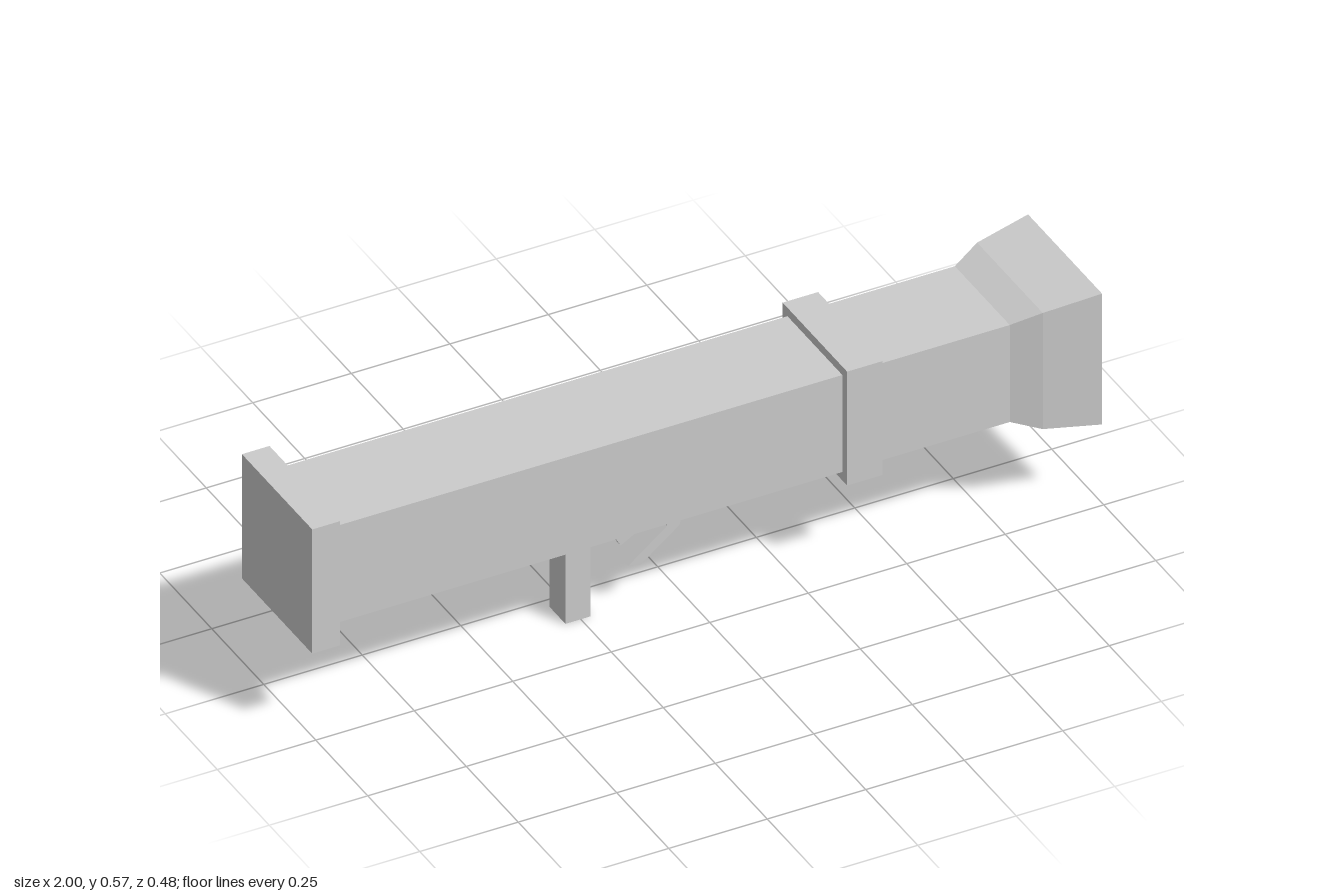
import * as THREE from 'three';

const AXIS_Y = 0.392, AXIS_Z = 0.064;

export function createModel() {
  const model = new THREE.Group();
  const material = new THREE.MeshStandardMaterial({ color: 0xcccccc, flatShading: true });

  function add(name, geometry, x, y, z, parent = model) {
    const mesh = new THREE.Mesh(geometry, material);
    mesh.name = name;
    mesh.position.set(x, y, z);
    parent.add(mesh);
    return mesh;
  }

  // Square section swept along x; each point is [x, half width]
  function squareSweep(profile) {
    const points = profile.map(([x, half]) => new THREE.Vector2(half * Math.SQRT2, x));
    return new THREE.LatheGeometry(points, 4, Math.PI / 4).rotateZ(-Math.PI / 2);
  }

  // Side outline in x and y, extruded symmetrically about the axis
  function plate(name, outline, width) {
    const shape = new THREE.Shape(outline.map(([x, y]) => new THREE.Vector2(x, y)));
    const geometry = new THREE.ExtrudeGeometry(shape, { depth: width, bevelEnabled: false });
    return add(name, geometry, 0, 0, AXIS_Z - width / 2);
  }

  // Long square tube ending in a flared muzzle
  add('tube', squareSweep([
    [-0.99, 0], [-0.99, 0.132], [0.79, 0.132], [0.86, 0.158], [1, 0.178], [1, 0],
  ]), 0, AXIS_Y, AXIS_Z);

  // Collars around the tube
  add('endCap', new THREE.BoxGeometry(0.07, 0.338, 0.338), -0.965, 0.394, AXIS_Z);
  add('band', new THREE.BoxGeometry(0.09, 0.31, 0.31), 0.41, AXIS_Y, AXIS_Z);

  // Grip, trigger and bent foregrip below the tube
  add('grip', new THREE.BoxGeometry(0.064, 0.27, 0.077), -0.257, 0.135, 0.065);
  plate('trigger', [
    [-0.21, 0.275], [-0.141, 0.157], [-0.105, 0.178], [-0.16, 0.275],
  ], 0.05);
  plate('triggerGuard', [
    [-0.018, 0.27], [-0.032, 0.185], [-0.13, 0.108], [-0.098, 0.102],
    [0, 0.178], [0.021, 0.27],
  ], 0.082);

  // Side sight: arm, square ring with chamfered rim, crosshair
  const sight = new THREE.Group();
  sight.name = 'sight';
  sight.position.set(0.411, 0.3515, -0.2095);
  model.add(sight);
  add('sightArm', new THREE.BoxGeometry(0.013, 0.014, 0.1), 0, 0, 0.08, sight);
  add('sightFrame', squareSweep([
    [-0.01, 0.027], [-0.01, 0.029], [-0.005, 0.0325], [0.005, 0.0325],
    [0.01, 0.029], [0.01, 0.027], [-0.01, 0.027],
  ]), 0, 0, 0, sight);
  add('crosshairUpright', new THREE.BoxGeometry(0.008, 0.056, 0.006), 0, 0, 0, sight);
  add('crosshairBar', new THREE.BoxGeometry(0.008, 0.006, 0.056), 0, 0, 0, sight);

  return model;
}
